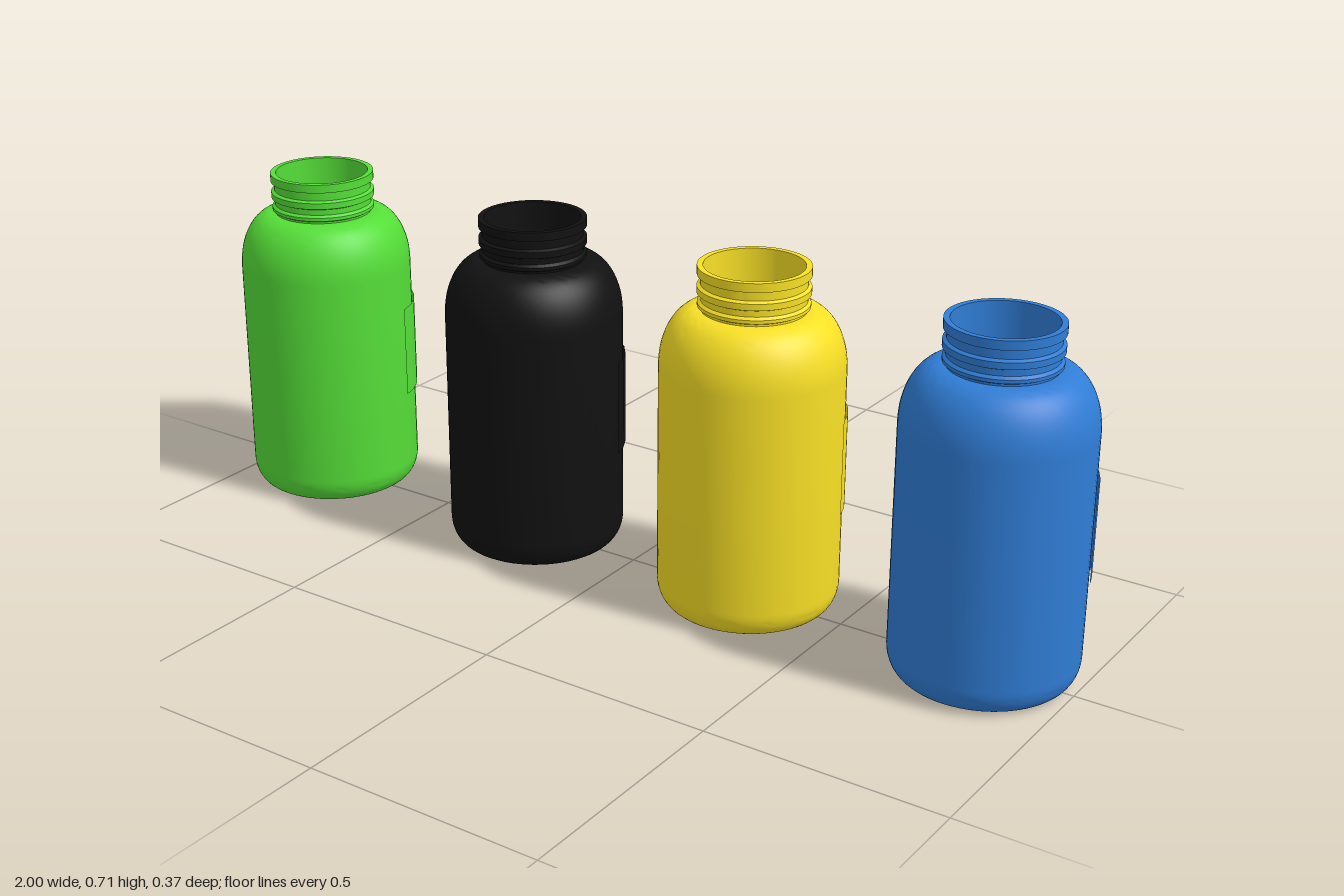
import * as THREE from 'three';
import { toCreasedNormals } from 'three/addons/utils/BufferGeometryUtils.js';

const RADIUS = 0.184;
const SIDES = 64;

// Quarter-ellipse points around (cx, cy), from angle a to angle b
function arc(cx, cy, rx, ry, a, b, n = 10) {
  return Array.from({ length: n + 1 }, (_, i) => {
    const t = a + (b - a) * i / n;
    return new THREE.Vector2(cx + rx * Math.cos(t), cy + ry * Math.sin(t));
  });
}

const points = (list) => list.map(([r, y]) => new THREE.Vector2(r, y));
const lathe = (profile) => toCreasedNormals(new THREE.LatheGeometry(profile, SIDES), 0.6);

// Closed base, rounded body and shoulder
function bodyGeometry() {
  return lathe([
    new THREE.Vector2(0, 0),
    ...arc(0.146, 0.055, RADIUS - 0.146, 0.055, -Math.PI / 2, 0),
    ...arc(0.112, 0.51, RADIUS - 0.112, 0.117, 0, Math.PI / 2, 14),
    new THREE.Vector2(0.1, 0.627),
  ]);
}

// Neck with two thread rings and a rim, turning over into the mouth
function neckGeometry() {
  return lathe(points([
    [0.104, 0.625], [0.104, 0.631], [0.110, 0.634], [0.110, 0.641], [0.104, 0.646],
    [0.104, 0.658], [0.111, 0.661], [0.111, 0.674], [0.104, 0.678],
    [0.104, 0.695], [0.111, 0.697], [0.111, 0.715], [0.099, 0.715], [0.099, 0.62],
  ]));
}

// Inside wall, seen through the mouth
function liningGeometry() {
  return lathe([
    new THREE.Vector2(0.099, 0.62),
    ...arc(0.108, 0.51, 0.068, 0.11, Math.PI / 2, 0),
    ...arc(0.142, 0.06, 0.034, 0.045, 0, -Math.PI / 2),
  ]);
}

// Faceted label wrapped around the back
function labelGeometry() {
  const start = Math.PI - THREE.MathUtils.degToRad(78);
  const sweep = THREE.MathUtils.degToRad(150);
  return new THREE.CylinderGeometry(0.189, 0.189, 0.2, 14, 1, true, start, sweep);
}

export function createModel() {
  const model = new THREE.Group();
  const body = bodyGeometry();
  const neck = neckGeometry();
  const lining = liningGeometry();
  const label = labelGeometry();
  const floor = new THREE.CircleGeometry(0.143, SIDES).rotateX(-Math.PI / 2);
  const grey = new THREE.MeshStandardMaterial({ color: 0xcccccc });

  const bottles = [
    ['greenBottle', -0.816, 0x55de38],
    ['blackBottle', -0.243, 0x111111],
    ['yellowBottle', 0.289, 0xf8e026],
    ['blueBottle', 0.816, 0x307dd6],
  ];

  for (const [name, x, color] of bottles) {
    const bottle = new THREE.Group();
    bottle.name = name;
    bottle.position.set(x, 0, 0.011);
    const plastic = new THREE.MeshStandardMaterial({ color });
    const paper = new THREE.MeshStandardMaterial({ color, side: THREE.DoubleSide, flatShading: true });

    const add = (part, geometry, material, y = 0) => {
      const mesh = new THREE.Mesh(geometry, material);
      mesh.name = part;
      mesh.position.y = y;
      bottle.add(mesh);
    };
    add('body', body, plastic);
    add('threadedNeck', neck, plastic);
    add('insideWall', lining, plastic);
    add('insideFloor', floor, grey, 0.015);
    add('label', label, paper, 0.32);
    model.add(bottle);
  }
  return model;
}
